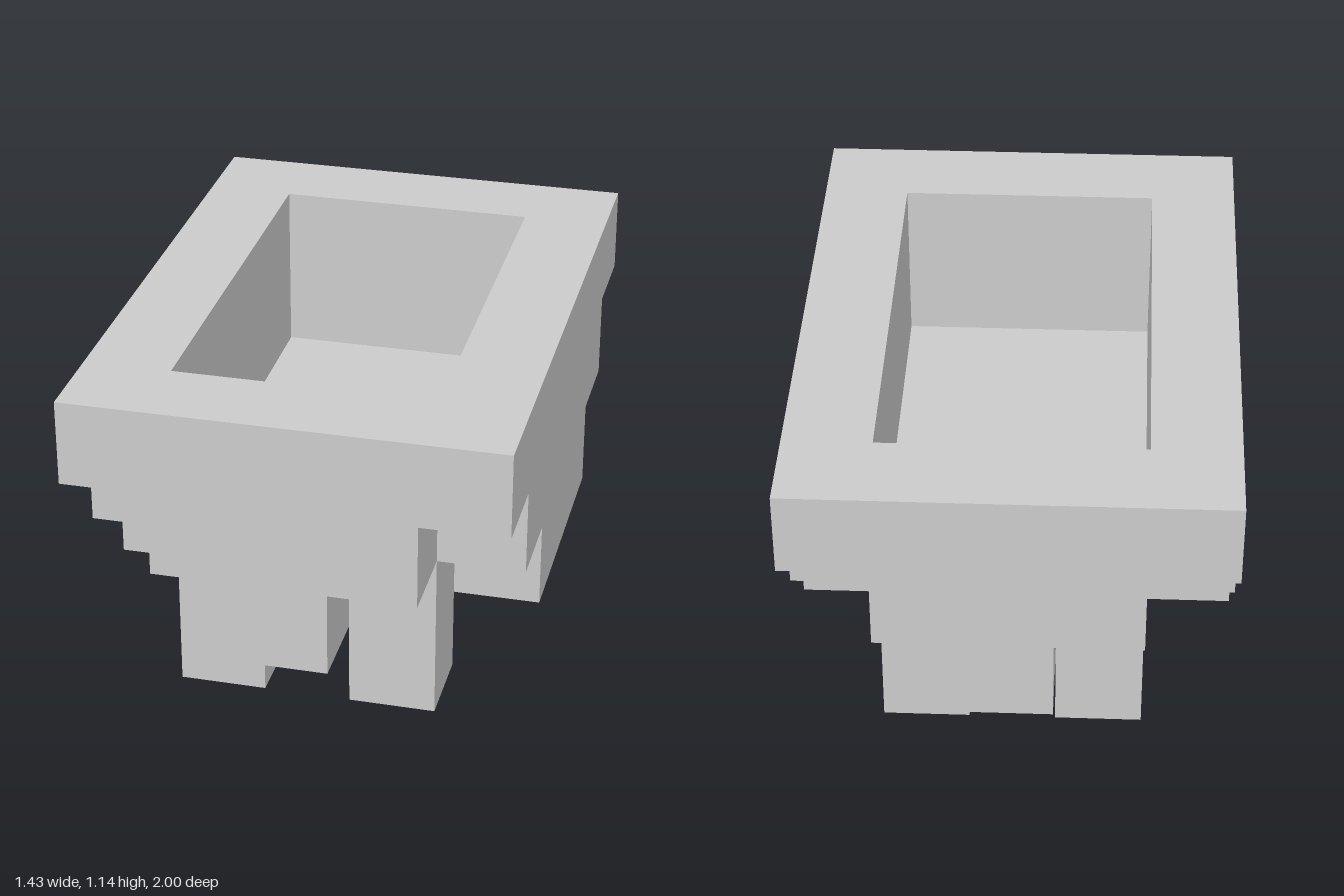
import * as THREE from 'three';

const U = 2 / 7; // one block of the stepped design

export function createModel() {
  const group = new THREE.Group();
  const material = new THREE.MeshStandardMaterial({ color: 0xcccccc, flatShading: true });

  const add = (name, geometry, x, y, z) => {
    const mesh = new THREE.Mesh(geometry, material);
    mesh.name = name;
    mesh.position.set(x * U, y * U, z * U);
    group.add(mesh);
  };

  // Sizes and centres in blocks; y is the underside
  const box = (name, w, h, d, x, y, z) =>
    add(name, new THREE.BoxGeometry(w * U, h * U, d * U), x, y + h / 2, z);

  // One-block-thick slab from a plan outline with optional holes
  const outline = (pts) => pts.map(([x, z]) => new THREE.Vector2(x * U, z * U));
  const rect = (w, d) => outline([[-w, -d], [w, -d], [w, d], [-w, d]]);
  const slab = (name, points, y, hole) => {
    const shape = new THREE.Shape(points);
    if (hole) shape.holes.push(new THREE.Path(hole));
    const geometry = new THREE.ExtrudeGeometry(shape, { depth: U, bevelEnabled: false });
    add(name, geometry.rotateX(-Math.PI / 2), 0, y, 0);
  };

  // Wide top rim around the basin opening
  slab('rim', rect(2.5, 3.5), 3, rect(1.5, 2.5));

  // Basin walls, stepped in at the corners
  for (const s of [-1, 1]) {
    box('sideWall', 1, 1, 5, 2 * s, 2, 0);
    box('endWall', 3, 1, 1, 0, 2, 3 * s);
  }

  // Cross-shaped floor; the leg tops fill its inner corners
  slab('floor', outline([
    [-0.5, -3.5], [0.5, -3.5], [0.5, -1.5], [2.5, -1.5], [2.5, 1.5], [0.5, 1.5],
    [0.5, 3.5], [-0.5, 3.5], [-0.5, 1.5], [-2.5, 1.5], [-2.5, -1.5], [-0.5, -1.5],
  ]), 1);

  // Four legs
  for (const x of [-1, 1])
    for (const z of [-2, 2]) box(z > 0 ? 'frontLeg' : 'backLeg', 1, 2, 1, x, 0, z);

  return group;
}
